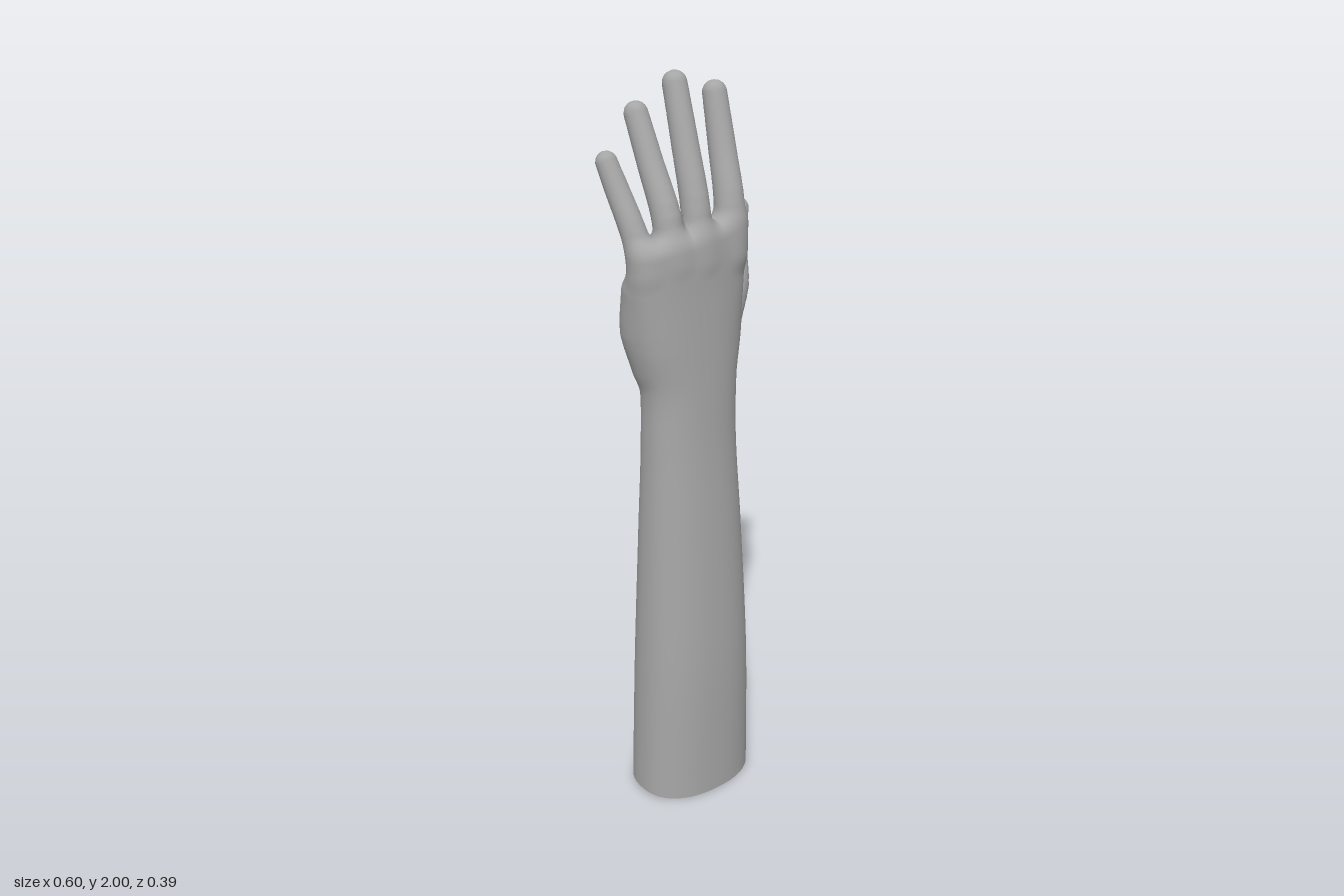
import * as THREE from 'three';
import { mergeVertices } from 'three/addons/utils/BufferGeometryUtils.js';

// Arm and palm outline: height, then right/left x and back/front z extents
const RINGS = [
  [0, -0.275, 0.084, -0.058, 0.19],
  [0.4, -0.262, 0.078, -0.054, 0.188],
  [0.8, -0.243, 0.06, -0.042, 0.168],
  [1.05, -0.232, 0.047, -0.032, 0.153],
  [1.2, -0.232, 0.05, -0.03, 0.148],
  [1.32, -0.256, 0.062, -0.02, 0.144],
  [1.45, -0.268, 0.072, 0.0, 0.14],
  [1.56, -0.275, 0.075, 0.015, 0.137],
  [1.66, -0.275, 0.075, 0.045, 0.125],
];
const ROUNDNESS = 2.3; // exponent of the cross-section, 2 is an ellipse
const WRIST = 1.2;

// Centre lines as x, y, z, radius
const DIGITS = {
  littleFinger: [[-0.235, 1.52, 0.065, 0.037], [-0.248, 1.62, 0.04, 0.034], [-0.262, 1.72, -0.005, 0.031], [-0.273, 1.79, -0.035, 0.028]],
  ringFinger: [[-0.165, 1.54, 0.08, 0.04], [-0.168, 1.65, 0.07, 0.038], [-0.174, 1.78, 0.015, 0.034], [-0.18, 1.9, -0.035, 0.031]],
  middleFinger: [[-0.085, 1.54, 0.085, 0.042], [-0.083, 1.66, 0.08, 0.038], [-0.08, 1.82, 0.035, 0.035], [-0.077, 1.968, -0.01, 0.032]],
  indexFinger: [[0.025, 1.54, 0.08, 0.044], [0.03, 1.66, 0.078, 0.04], [0.037, 1.8, 0.04, 0.036], [0.04, 1.937, 0.005, 0.032]],
  thumb: [[-0.02, 1.27, 0.03, 0.06], [0.045, 1.335, -0.01, 0.08], [0.125, 1.41, -0.05, 0.066], [0.19, 1.47, -0.1, 0.045], [0.24, 1.54, -0.145, 0.037], [0.268, 1.583, -0.165, 0.031]],
};
const PALM_PAD = [[-0.19, 1.27, 0.03, 0.05], [-0.215, 1.36, 0.02, 0.055], [-0.225, 1.47, 0.035, 0.05]];

// Smoothly joins two distances over width k
function blend(a, b, k) {
  const h = Math.max(k - Math.abs(a - b), 0) / k;
  return Math.min(a, b) - h * h * k / 4;
}

// Distance to a tapered, rounded limb along a smooth centre line
function limb(points) {
  const path = new THREE.CatmullRomCurve3(points.map(p => new THREE.Vector3(p[0], p[1], p[2])));
  const n = (points.length - 1) * 4;
  const samples = [];
  for (let i = 0; i <= n; i++) {
    const s = Math.min(i / 4, points.length - 1 - 1e-6), a = Math.floor(s);
    const r = THREE.MathUtils.lerp(points[a][3], points[a + 1][3], s - a);
    samples.push([...path.getPoint(i / n).toArray(), r]);
  }
  return (x, y, z) => {
    let best = Infinity;
    for (let i = 0; i < n; i++) {
      const a = samples[i], b = samples[i + 1];
      const dx = b[0] - a[0], dy = b[1] - a[1], dz = b[2] - a[2];
      const px = x - a[0], py = y - a[1], pz = z - a[2];
      const t = Math.min(1, Math.max(0, (px * dx + py * dy + pz * dz) / (dx * dx + dy * dy + dz * dz)));
      const d = Math.hypot(px - t * dx, py - t * dy, pz - t * dz) - a[3] - t * (b[3] - a[3]);
      if (d < best) best = d;
    }
    return best;
  };
}

const ringAt = new THREE.CubicInterpolant(RINGS.map(r => r[0]), RINGS.flatMap(r => r.slice(1)), 4, new Float32Array(4));
const digits = Object.entries(DIGITS).map(([name, points]) => ({ name, distance: limb(points) }));
const fingers = digits.slice(0, 4), thumb = digits[4];
const palmPad = limb(PALM_PAD);

// Forearm and palm body, rounded off below the fingers
function bodyDistance(x, y, z) {
  const [x0, x1, z0, z1] = ringAt.evaluate(Math.min(y, 1.66));
  const a = (x1 - x0) / 2, b = (z1 - z0) / 2, p = ROUNDNESS;
  const u = Math.abs(x - (x0 + x1) / 2) / a + 1e-6, v = Math.abs(z - (z0 + z1) / 2) / b + 1e-6;
  const k = Math.pow(u ** p + v ** p, 1 / p);
  const slope = Math.pow(k, 1 - p) * Math.hypot(u ** (p - 1) / a, v ** (p - 1) / b);
  const side = (k - 1) / slope;
  if (y < 1.1) return side;
  const capped = -blend(-side, -(y - 1.635 - 0.15 * x), 0.04);
  return blend(capped, palmPad(x, y, z), 0.04);
}

function surface(x, y, z) {
  const body = bodyDistance(x, y, z);
  if (y < 1.05) return body;
  let finger = Infinity;
  for (const f of fingers) finger = Math.min(finger, f.distance(x, y, z));
  return blend(blend(body, finger, 0.03), thumb.distance(x, y, z), 0.05);
}

function gradient(x, y, z) {
  const e = 0.001;
  return [
    (surface(x + e, y, z) - surface(x - e, y, z)) / (2 * e),
    (surface(x, y + e, z) - surface(x, y - e, z)) / (2 * e),
    (surface(x, y, z + e) - surface(x, y, z - e)) / (2 * e),
  ];
}

// The cut end rises slightly toward the back
const cutHeight = (y, z) => y + 0.12 * (0.19 - z) * Math.max(0, 1 - y / 0.3);

// Name of the part a surface point belongs to
function partAt(x, y, z) {
  if (y < WRIST) return 'forearm';
  let name = 'palm', best = bodyDistance(x, y, z);
  for (const d of digits) {
    const dist = d.distance(x, y, z);
    if (dist < best) { best = dist; name = d.name; }
  }
  return name;
}

// Wraps a quad mesh around the blended form and sorts its faces by part
function buildParts() {
  const h = 0.011, origin = [-0.33, 0, -0.23], size = [61, 186, 43];
  const stride = [1, size[0], size[0] * size[1]];
  const at = (i, axis) => Math.floor(i / stride[axis]) % size[axis];
  const place = i => [0, 1, 2].map(c => origin[c] + h * at(i, c));
  const total = size[0] * size[1] * size[2];
  const field = new Float32Array(total);
  for (let i = 0; i < total; i++) field[i] = surface(...place(i));

  // One vertex in each cell the surface crosses
  const cells = new Map();
  for (let i = 0; i < total; i++) {
    if ([0, 1, 2].some(c => at(i, c) === size[c] - 1)) continue;
    const sum = [0, 0, 0];
    let count = 0;
    for (let c = 0; c < 8; c++) for (let axis = 0; axis < 3; axis++) {
      if (c >> axis & 1) continue;
      const bits = [c & 1, c >> 1 & 1, c >> 2 & 1];
      const from = i + bits[0] * stride[0] + bits[1] * stride[1] + bits[2] * stride[2];
      const f0 = field[from], f1 = field[from + stride[axis]];
      if (f0 < 0 === f1 < 0) continue;
      bits[axis] += f0 / (f0 - f1);
      for (let d = 0; d < 3; d++) sum[d] += bits[d];
      count++;
    }
    if (!count) continue;
    const p = place(i).map((v, d) => v + h * sum[d] / count);
    for (let step = 0; step < 2; step++) {
      const g = gradient(...p), f = surface(...p) / Math.max(0.2, g[0] ** 2 + g[1] ** 2 + g[2] ** 2);
      for (let d = 0; d < 3; d++) p[d] -= THREE.MathUtils.clamp(f * g[d], -h / 2, h / 2);
    }
    if (at(i, 1) === 0) p[1] = 0;
    const normal = new THREE.Vector3(...gradient(...p)).normalize().toArray();
    cells.set(i, { raw: p, position: [p[0], cutHeight(p[1], p[2]), p[2]], normal });
  }

  // A quad around each grid edge the surface crosses
  const parts = {};
  for (let i = 0; i < total; i++) for (let axis = 0; axis < 3; axis++) {
    const u = (axis + 1) % 3, v = (axis + 2) % 3;
    if (at(i, axis) === size[axis] - 1 || !at(i, u) || !at(i, v)) continue;
    const inside = field[i] < 0;
    if (inside === field[i + stride[axis]] < 0) continue;
    const quad = [i - stride[u] - stride[v], i - stride[v], i, i - stride[u]].map(c => cells.get(c));
    if (quad.some(q => !q)) continue;
    if (!inside) quad.reverse();
    const middle = [0, 1, 2].map(d => quad.reduce((s, q) => s + q.raw[d], 0) / 4);
    const part = parts[partAt(...middle)] ??= { position: [], normal: [] };
    for (const n of [0, 1, 2, 0, 2, 3]) {
      part.position.push(...quad[n].position);
      part.normal.push(...quad[n].normal);
    }
  }
  return parts;
}

// Flat face closing the cut end of the forearm
function cutFace() {
  const [, x0, x1, z0, z1] = RINGS[0];
  const geometry = new THREE.CircleGeometry(1, 64).rotateX(Math.PI / 2);
  const pos = geometry.attributes.position;
  for (let i = 0; i < pos.count; i++) {
    const u = pos.getX(i), v = pos.getZ(i);
    const k = Math.pow(Math.abs(u) ** ROUNDNESS + Math.abs(v) ** ROUNDNESS, 1 / ROUNDNESS) || 1;
    const x = (x0 + x1) / 2 + u / k * (x1 - x0) / 2, z = (z0 + z1) / 2 + v / k * (z1 - z0) / 2;
    pos.setXYZ(i, x, cutHeight(0, z), z);
  }
  geometry.computeVertexNormals();
  return geometry;
}

export function createModel() {
  const group = new THREE.Group();
  group.name = 'armAndHand';
  const skin = new THREE.MeshStandardMaterial({ color: 0xa6a6a6 });
  skin.name = 'plainGrey';
  const add = (name, geometry) => {
    const mesh = new THREE.Mesh(geometry, skin);
    mesh.name = name;
    group.add(mesh);
  };
  for (const [name, data] of Object.entries(buildParts())) {
    const geometry = new THREE.BufferGeometry();
    for (const key of ['position', 'normal']) geometry.setAttribute(key, new THREE.Float32BufferAttribute(data[key], 3));
    add(name, mergeVertices(geometry));
  }
  add('cutEnd', cutFace());
  return group;
}
